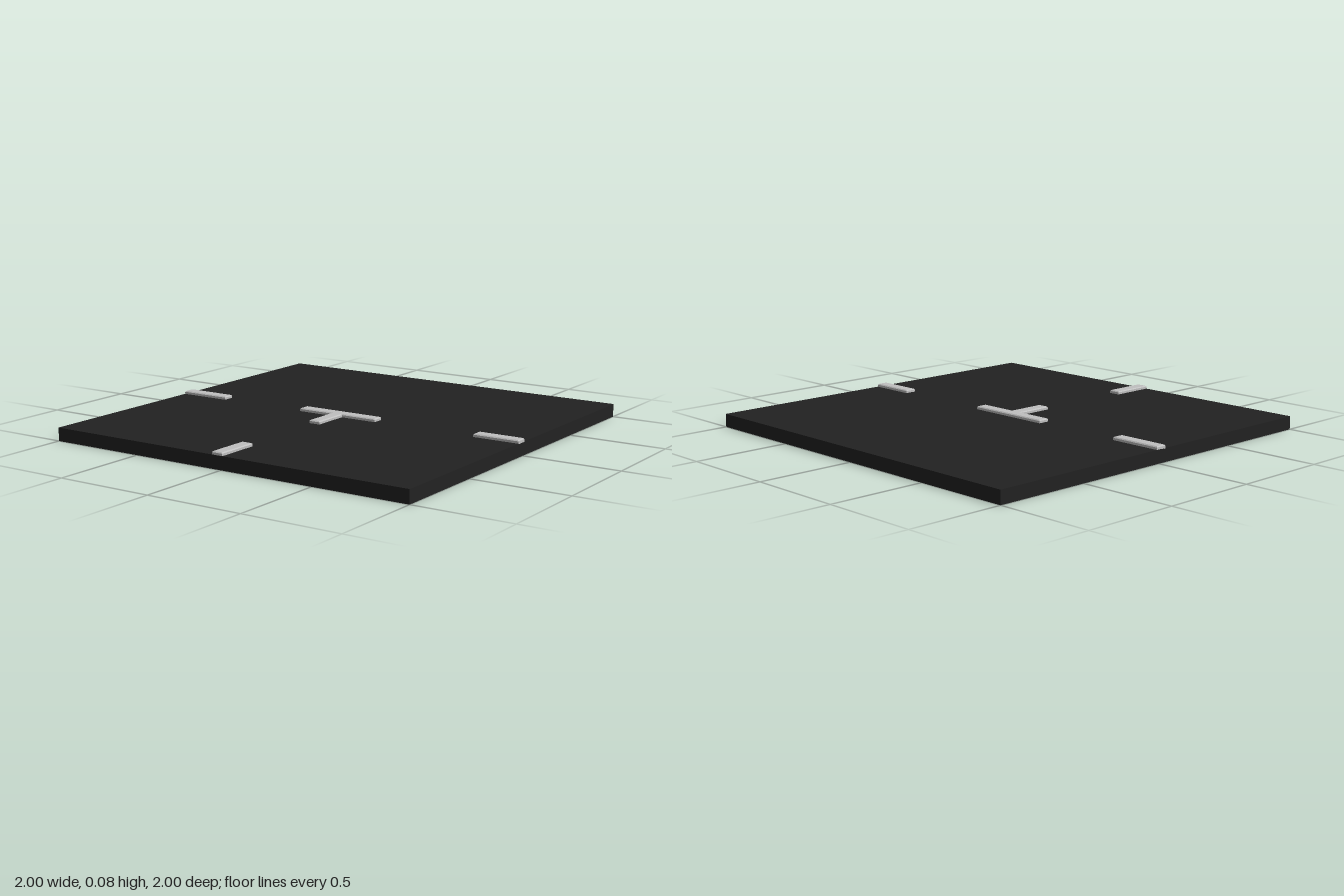
import * as THREE from 'three';

const SLAB_H = 0.067, TOP = 0.083, BEVEL = 0.005;

// Chamfered plate from an outline of [x, z] corners, sunk slightly into the slab
function marking(name, corners, material) {
  const shape = new THREE.Shape(corners.map(([x, z]) => new THREE.Vector2(x, -z)));
  const depth = 0.014;
  const geometry = new THREE.ExtrudeGeometry(shape, {
    depth, bevelEnabled: true, bevelThickness: BEVEL, bevelSize: BEVEL, bevelOffset: -BEVEL, bevelSegments: 1,
  });
  geometry.rotateX(-Math.PI / 2);
  geometry.translate(0, TOP - depth - BEVEL, 0);
  const mesh = new THREE.Mesh(geometry, material);
  mesh.name = name;
  return mesh;
}

const rect = (x0, x1, z0, z1) => [[x0, z1], [x1, z1], [x1, z0], [x0, z0]];

export function createModel() {
  const group = new THREE.Group();
  group.name = 'markedSlab';
  const asphalt = new THREE.MeshStandardMaterial({ color: 0x222222 });
  asphalt.name = 'dark asphalt';
  const paint = new THREE.MeshStandardMaterial({ color: 0xc0c0c0 });
  paint.name = 'pale grey paint';

  // Square base
  const slab = new THREE.Mesh(new THREE.BoxGeometry(2, SLAB_H, 2), asphalt);
  slab.name = 'slab';
  slab.position.y = SLAB_H / 2;
  group.add(slab);

  // Dashes that run to the slab edges, and the T at the centre
  const z0 = -0.015, z1 = 0.045, x0 = -0.05, x1 = 0.01;
  group.add(
    marking('rightDash', rect(-1, -0.73, z0, z1), paint),
    marking('leftDash', rect(0.76, 1, z0, z1), paint),
    marking('frontDash', rect(x0, x1, 0.775, 1), paint),
    marking('centreJunction', [
      [-0.245, z1], [x0, z1], [x0, 0.24], [x1, 0.24],
      [x1, z1], [0.205, z1], [0.205, z0], [-0.245, z0],
    ], paint),
  );
  return group;
}
